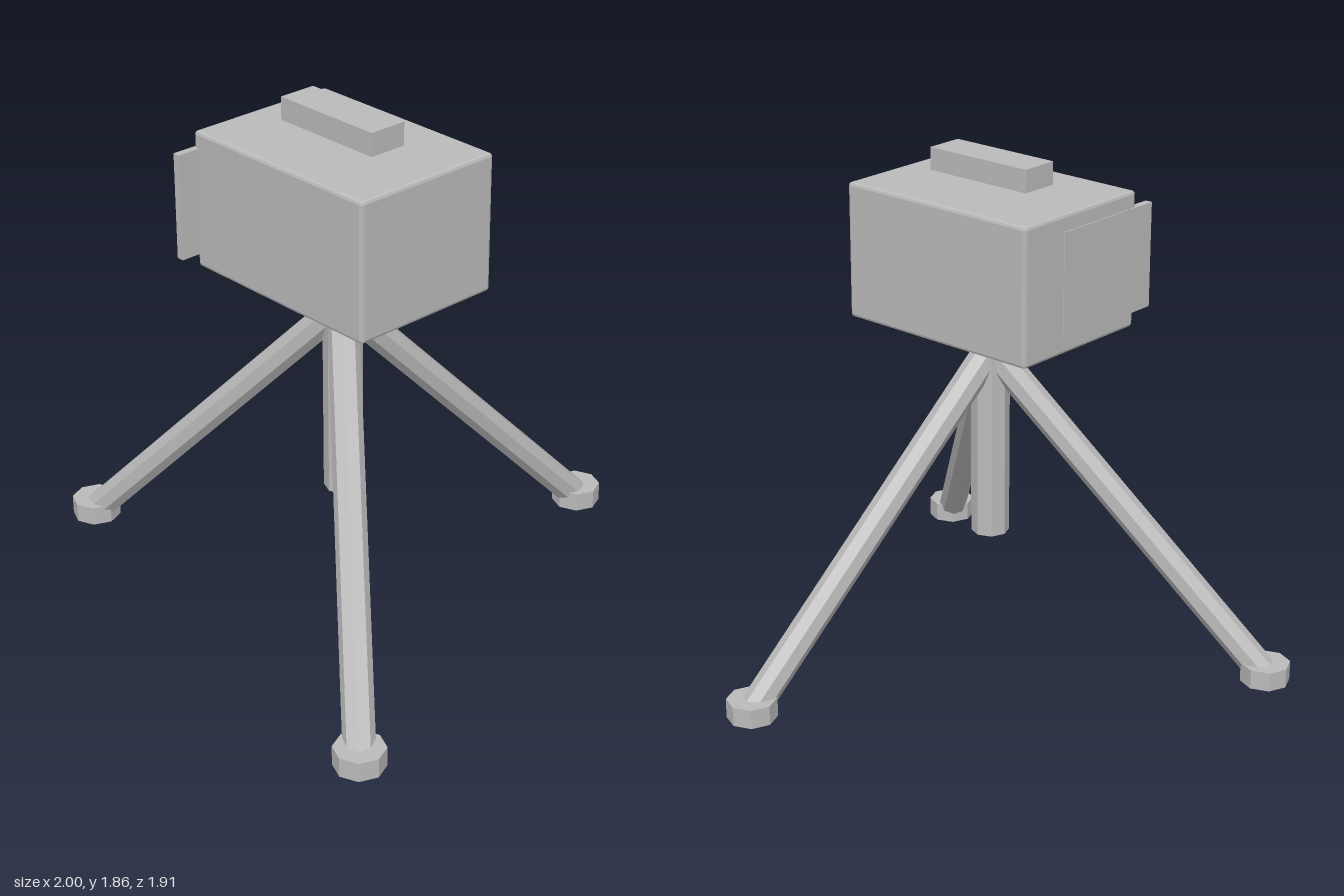
import * as THREE from 'three';
import { RoundedBoxGeometry } from 'three/addons/geometries/RoundedBoxGeometry.js';

export function createModel() {
  const model = new THREE.Group();
  model.name = 'tripodDevice';
  const grey = new THREE.MeshStandardMaterial({ color: 0xbababa, flatShading: true });
  grey.name = 'plain grey';

  // Vertical axis shared by the column, housing and legs
  const cx = 0.09, cz = 0.184;

  function add(name, geometry, x, y, z) {
    const mesh = new THREE.Mesh(geometry, grey);
    mesh.name = name;
    mesh.position.set(x, y, z);
    model.add(mesh);
    return mesh;
  }

  // Housing with narrow bevelled edges, side panel and floating top bar
  add('housing', new RoundedBoxGeometry(0.82, 0.5, 0.59, 1, 0.012), cx, 1.5, cz);
  add('sidePanel', new THREE.BoxGeometry(0.027, 0.385, 0.475), -0.311, 1.497, 0.327);
  add('topBar', new THREE.BoxGeometry(0.44, 0.083, 0.144), cx, 1.823, cz);

  // Centre column
  add('column', new THREE.CylinderGeometry(0.07, 0.07, 0.82, 8), cx, 0.845, cz);

  // Three splayed legs, each ending in an octagonal foot
  const up = new THREE.Vector3(0, 1, 0);
  const top = new THREE.Vector3(cx, 1.15, cz);
  for (const degrees of [40, 160, 280]) {
    const a = THREE.MathUtils.degToRad(degrees);
    const end = new THREE.Vector3(cx + 1.065 * Math.cos(a), 0.04, cz + 1.065 * Math.sin(a));
    const span = top.clone().sub(end);
    const mid = top.clone().add(end).multiplyScalar(0.5);
    const leg = add('leg', new THREE.CylinderGeometry(0.055, 0.055, span.length(), 8), mid.x, mid.y, mid.z);
    leg.quaternion.setFromUnitVectors(up, span.normalize());
    add('foot', new THREE.CylinderGeometry(0.09, 0.09, 0.072, 8), end.x, 0.054, end.z);
  }

  return model;
}
